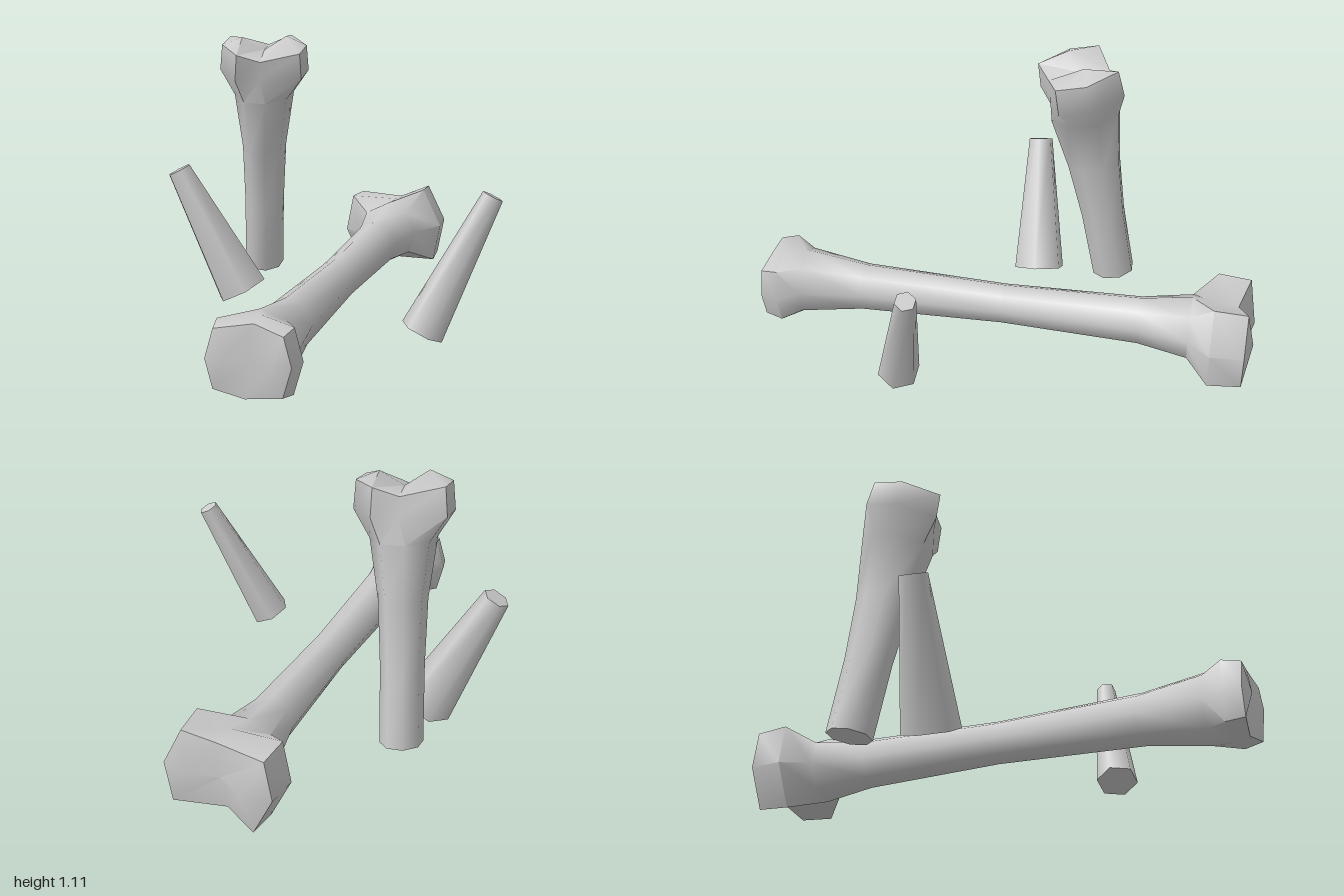
import * as THREE from 'three';
import { toCreasedNormals } from 'three/addons/utils/BufferGeometryUtils.js';

const material = new THREE.MeshStandardMaterial({ color: 0xcccccc });

// Ring of eight points: three of a lobe and one notch, repeated by half a turn.
function ring(z, half, scale = 1, notchZ = z) {
  return [1, -1].flatMap((s) =>
    half.map(([x, y], i) => new THREE.Vector3(s * x * scale, s * y * scale, i === 3 ? notchZ : z)));
}

// Slightly squashed octagon for the shaft.
function shaftRing(z, rx, ry, turn) {
  const half = [0, 1, 2, 3].map((i) => {
    const a = turn + (i * Math.PI) / 4;
    return [rx * Math.cos(a), ry * Math.sin(a)];
  });
  return ring(z, half);
}

// Closing ring: each lobe folds to a knob, the notches to the valley.
function knobs(z, x, y, valleyZ) {
  return ring(z, [[x, y], [x, y], [x, y], [0, 0]], 1, valleyZ);
}

// Skin between consecutive rings, leaving out collapsed triangles.
function loft(rings) {
  const pos = [];
  const tri = (a, b, c) => {
    if (a.equals(b) || b.equals(c) || a.equals(c)) return;
    for (const p of [a, b, c]) pos.push(p.x, p.y, p.z);
  };
  for (let i = 0; i < rings.length - 1; i++) {
    for (let j = 0; j < 8; j++) {
      const k = (j + 1) % 8;
      tri(rings[i][j], rings[i][k], rings[i + 1][k]);
      tri(rings[i][j], rings[i + 1][k], rings[i + 1][j]);
    }
  }
  const geo = new THREE.BufferGeometry();
  geo.setAttribute('position', new THREE.Float32BufferAttribute(pos, 3));
  return toCreasedNormals(geo, 0.95);
}

function addMesh(parent, name, geo) {
  const mesh = new THREE.Mesh(geo, material);
  mesh.name = name;
  parent.add(mesh);
  return mesh;
}

// Six-sided tapered fragment between two points.
function addFragment(parent, name, bottom, top, rBottom, rTop) {
  const a = new THREE.Vector3(...bottom), b = new THREE.Vector3(...top);
  const dir = b.clone().sub(a);
  const geo = new THREE.CylinderGeometry(rTop, rBottom, dir.length(), 6, 1, false, Math.PI / 6);
  const mesh = addMesh(parent, name, geo);
  mesh.position.copy(a).add(b).multiplyScalar(0.5);
  mesh.quaternion.setFromUnitVectors(new THREE.Vector3(0, 1, 0), dir.normalize());
}

export function createModel() {
  const model = new THREE.Group();
  model.name = 'bonePile';

  // Long bone lying along z, with a large back head and a smaller front head
  const bigHead = [[-0.19, 0.135], [-0.22, -0.025], [-0.14, -0.185], [-0.015, -0.135]];
  const smallHead = [[-0.135, 0.12], [-0.17, 0.0], [-0.14, -0.115], [-0.02, -0.148]];
  const turn = 2.44;
  const longBone = addMesh(model, 'longBone', loft([
    knobs(-1, -0.1, -0.02, -0.945),
    ring(-0.97, bigHead, 0.95, -0.93),
    ring(-0.84, bigHead),
    shaftRing(-0.75, 0.13, 0.13, turn),
    shaftRing(-0.55, 0.091, 0.1, turn),
    shaftRing(0, 0.078, 0.084, turn),
    shaftRing(0.58, 0.091, 0.102, turn),
    shaftRing(0.83, 0.13, 0.14, turn),
    ring(0.91, smallHead),
    ring(0.98, smallHead, 0.9, 0.965),
    knobs(1, -0.085, 0, 0.97),
  ]));
  longBone.position.set(0.02, 0.185, 0);

  // Broken half bone standing upright, slightly tilted
  const head = [[-0.18, 0.065], [-0.17, -0.06], [-0.06, -0.178], [0.025, -0.125]];
  const turn2 = 2.8;
  const halfBone = addMesh(model, 'uprightHalfBone', loft([
    ring(0, [[0, 0], [0, 0], [0, 0], [0, 0]]),
    shaftRing(0, 0.08, 0.09, turn2),
    shaftRing(0.3, 0.08, 0.093, turn2),
    shaftRing(0.55, 0.087, 0.112, turn2),
    shaftRing(0.78, 0.118, 0.145, turn2),
    ring(0.88, head),
    ring(0.985, head, 0.95, 0.95),
    knobs(1.02, -0.08, -0.04, 0.965),
  ]));
  const w = new THREE.Vector3(0.075, 0.96, 0.17).normalize();
  const u = new THREE.Vector3(1, 0, 0).addScaledVector(w, -w.x).normalize();
  const v = new THREE.Vector3().crossVectors(w, u);
  halfBone.quaternion.setFromRotationMatrix(new THREE.Matrix4().makeBasis(u, v, w));
  halfBone.position.set(-0.435, 0.11, -0.385);

  // Tapered shaft fragments on either side
  addFragment(model, 'rightFragment', [-0.413, 0.085, -0.065], [-0.663, 0.58, -0.02], 0.11, 0.052);
  addFragment(model, 'leftFragment', [0.445, 0.12, 0.325], [0.672, 0.62, 0.215], 0.082, 0.04);

  return model;
}
